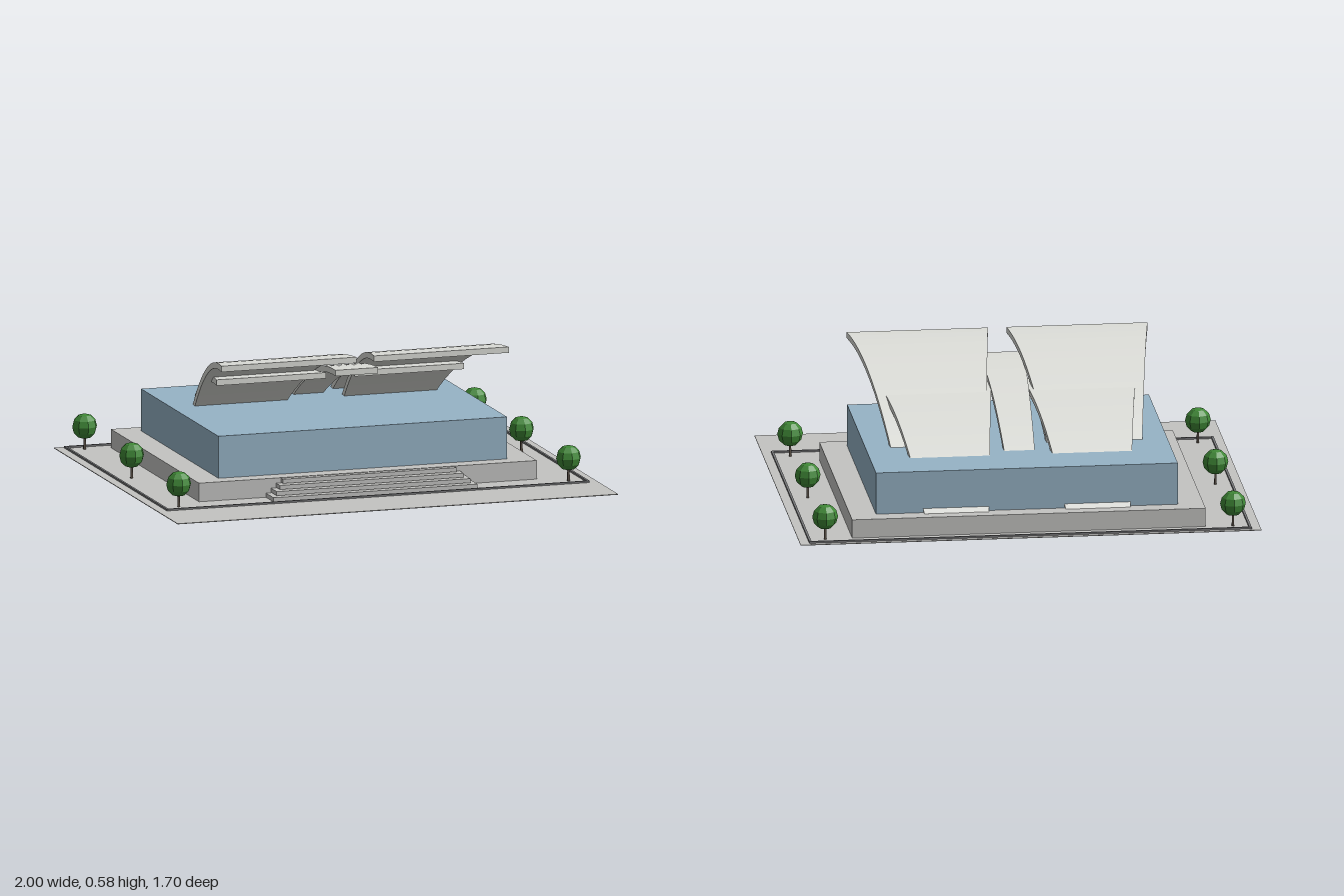
import * as THREE from 'three';

const mat = (name, color, extra = {}) => {
  const m = new THREE.MeshStandardMaterial({ color, ...extra });
  m.name = name;
  return m;
};

export function createModel() {
  const model = new THREE.Group();
  model.name = 'concertHall';
  const stone = mat('stone', 0xc4c4c2);
  const glass = mat('blueGlass', 0x96b3c6);
  const shellWhite = mat('shellWhite', 0xdcddd8);
  const kerbGrey = mat('kerbGrey', 0x77787a);
  const leaf = mat('leafGreen', 0x3f8836, { flatShading: true });
  const bark = mat('bark', 0x5c5248);

  const add = (name, geometry, material, parent = model) => {
    const mesh = new THREE.Mesh(geometry, material);
    mesh.name = name;
    parent.add(mesh);
    return mesh;
  };
  // Box given by its limits on each axis
  const block = (name, x0, x1, y0, y1, z0, z1, material) => {
    const mesh = add(name, new THREE.BoxGeometry(x1 - x0, y1 - y0, z1 - z0), material);
    mesh.position.set((x0 + x1) / 2, (y0 + y1) / 2, (z0 + z1) / 2);
    return mesh;
  };

  // Ground, podium and glazed hall
  block('plaza', -1, 1, 0, 0.003, -0.85, 0.85, stone);
  block('podium', -0.767, 0.767, 0.003, 0.085, -0.77, 0.438, stone);
  block('glassHall', -0.655, 0.655, 0.085, 0.27, -0.695, 0.366, glass);

  // Low kerb round the garden
  const kx = 0.96, kBack = -0.83, kFront = 0.58, kw = 0.01, kh = 0.011;
  block('kerbFront', -kx, kx, 0.003, kh, kFront - kw, kFront, kerbGrey);
  block('kerbBack', -kx, kx, 0.003, kh, kBack, kBack + kw, kerbGrey);
  block('kerbLeft', kx - kw, kx, 0.003, kh, kBack + kw, kFront - kw, kerbGrey);
  block('kerbRight', -kx, kw - kx, 0.003, kh, kBack + kw, kFront - kw, kerbGrey);

  // Entrance steps, wrapping round three sides
  for (let i = 0; i < 4; i++) {
    const half = 0.463 - i * 0.023;
    block('step', -half, half, 0.003 + i * 0.0205, 0.0215 + i * 0.0205, 0.43, 0.542 - i * 0.026, stone);
  }

  // Roof shell: a parabola falling to the back, its side edges tapering in plan
  const shellGeometry = ({ zFront, zBack, top, bend, front, back }) => {
    const n = 16, thickness = 0.026, sections = [];
    for (let i = 0; i <= n; i++) {
      const t = i / n;
      const d = (zFront - zBack) * t;
      const z = zFront - d, y = top - bend * d * d;
      const normal = new THREE.Vector2(-2 * bend * d, 1).normalize().multiplyScalar(thickness);
      const a = THREE.MathUtils.lerp(front[0], back[0], t);
      const b = THREE.MathUtils.lerp(front[1], back[1], t);
      sections.push([
        [a, y, z], [b, y, z],
        [b, y - normal.y, z - normal.x], [a, y - normal.y, z - normal.x],
      ]);
    }
    const points = [];
    const quad = (p, q, r, s) => points.push(...p, ...q, ...r, ...p, ...r, ...s);
    for (let i = 0; i < n; i++) {
      const s = sections[i], e = sections[i + 1];
      for (let k = 0; k < 4; k++) {
        const m = (k + 1) % 4;
        quad(s[k], s[m], e[m], e[k]);
      }
    }
    quad(...[...sections[0]].reverse());
    quad(...sections[n]);
    const g = new THREE.BufferGeometry();
    g.setAttribute('position', new THREE.Float32BufferAttribute(points, 3));
    g.computeVertexNormals();
    return g;
  };

  for (const side of [1, -1]) {
    // Limits in x, kept in rising order on both sides
    const span = (inner, outer) => (side > 0 ? [inner, outer] : [-outer, -inner]);
    const label = side > 0 ? 'Left' : 'Right';
    add('tallRoofShell' + label, shellGeometry({
      zFront: 0.4, zBack: -0.42, top: 0.585, bend: 0.616,
      front: span(0.04, 0.653), back: span(0.145, 0.53),
    }), shellWhite);
    add('lowRoofShell' + label, shellGeometry({
      zFront: 0.06, zBack: -0.715, top: 0.452, bend: 0.611,
      front: span(0.065, 0.562), back: span(0.166, 0.447),
    }), shellWhite);
  }
  add('middleRoofShell', shellGeometry({
    zFront: 0.285, zBack: -0.5, top: 0.508, bend: 0.475,
    front: [-0.097, 0.097], back: [-0.063, 0.063],
  }), shellWhite);

  // Trees along both sides
  const trunk = new THREE.CylinderGeometry(0.005, 0.006, 0.07, 6);
  const crown = new THREE.SphereGeometry(0.056, 8, 6);
  for (const x of [-0.885, 0.885]) {
    for (const z of [-0.775, -0.13, 0.515]) {
      const tree = new THREE.Group();
      tree.name = 'tree';
      tree.position.set(x, 0, z);
      add('trunk', trunk, bark, tree).position.y = 0.037;
      add('crown', crown, leaf, tree).position.y = 0.105;
      model.add(tree);
    }
  }
  return model;
}
